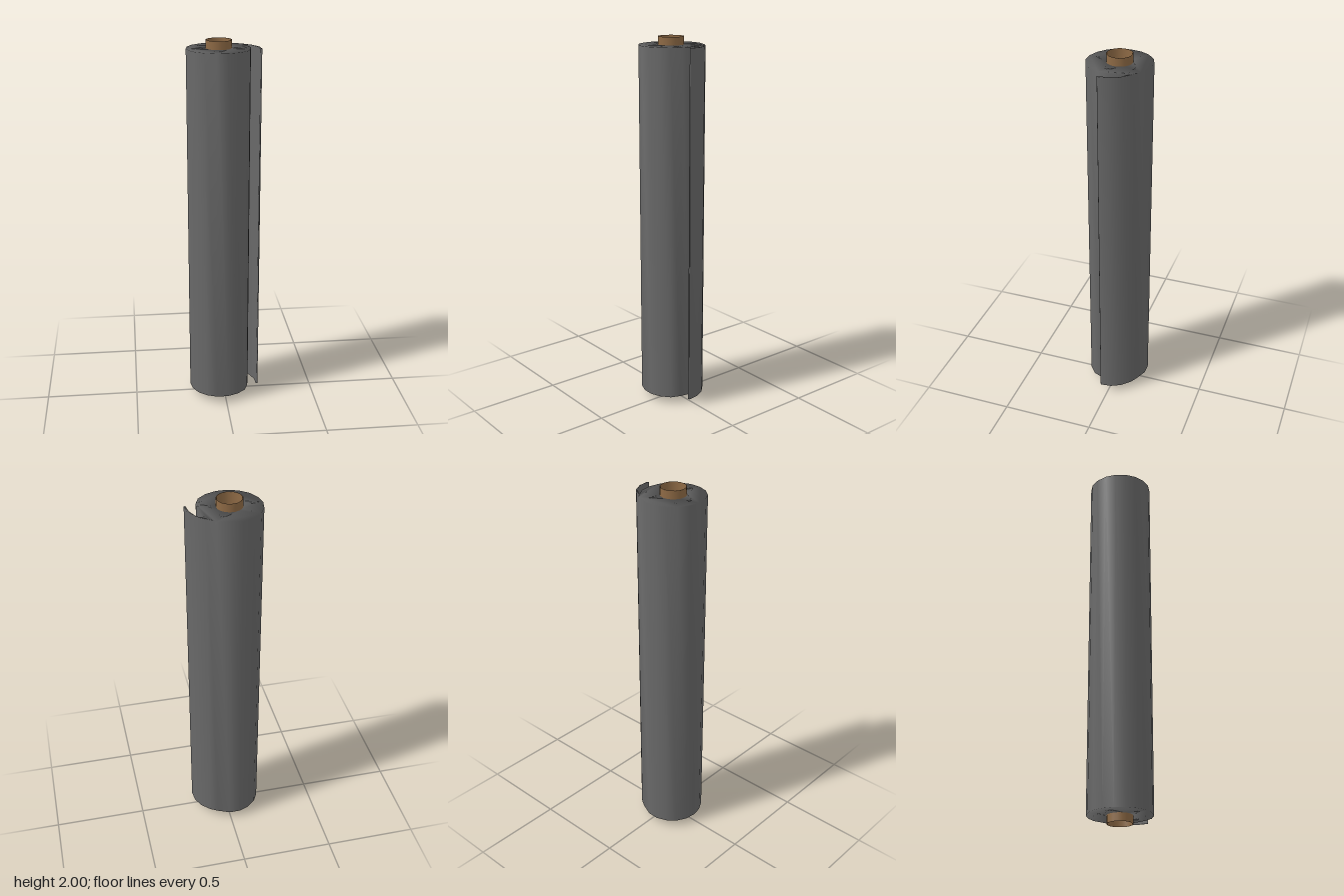
import * as THREE from 'three';
import { mergeVertices } from 'three/addons/utils/BufferGeometryUtils.js';

const CX = -0.025; // roll axis, offset to balance the loose flap

// Points of an 18-sided ring around the roll axis
function ring(radius) {
  return Array.from({ length: 18 }, (_, i) => {
    const a = (i / 18) * Math.PI * 2;
    return new THREE.Vector2(CX + Math.cos(a) * radius, Math.sin(a) * radius);
  });
}

// Upright prism with a round hole, softly shaded over its edges
function prism(outline, holeRadius, y0, y1) {
  const shape = new THREE.Shape(outline);
  shape.holes.push(new THREE.Path(ring(holeRadius)));
  let geo = new THREE.ExtrudeGeometry(shape, { depth: y1 - y0, bevelEnabled: false });
  geo.rotateX(-Math.PI / 2).translate(0, y0, 0);
  geo.deleteAttribute('normal');
  geo.deleteAttribute('uv');
  geo = mergeVertices(geo, 1e-5);
  geo.computeVertexNormals();
  return geo;
}

export function createModel() {
  const sheetGray = new THREE.MeshStandardMaterial({ name: 'sheetGray', color: 0x686868 });
  const cardboardBrown = new THREE.MeshStandardMaterial({ name: 'cardboardBrown', color: 0x8e6a45 });

  const group = new THREE.Group();
  group.name = 'sheetRoll';

  // Wound sheet seen from above (x, z), ending in a loose flap
  const outline = [
    [0.006, -0.168], [0.072, -0.14], [0.113, -0.116], [0.157, -0.073], [0.185, -0.018], [0.191, 0.041],
    [0.182, 0.045], [0.176, -0.013], [0.151, -0.068], [0.099, -0.111],
    [0.129, -0.059], [0.139, 0], [0.129, 0.057], [0.108, 0.108], [0.062, 0.146], [0.006, 0.167],
    [-0.053, 0.167], [-0.108, 0.146], [-0.154, 0.108], [-0.182, 0.057], [-0.192, 0],
    [-0.182, -0.058], [-0.154, -0.109], [-0.108, -0.147], [-0.053, -0.168],
  ].map(([x, z]) => new THREE.Vector2(x, -z));
  const sheet = new THREE.Mesh(prism(outline, 0.066, 0.042, 1.958), sheetGray);
  sheet.name = 'woundSheet';
  group.add(sheet);

  // Hollow core poking out at both ends
  const core = new THREE.Mesh(prism(ring(0.067), 0.063, 0, 2), cardboardBrown);
  core.name = 'coreTube';
  group.add(core);

  return group;
}
